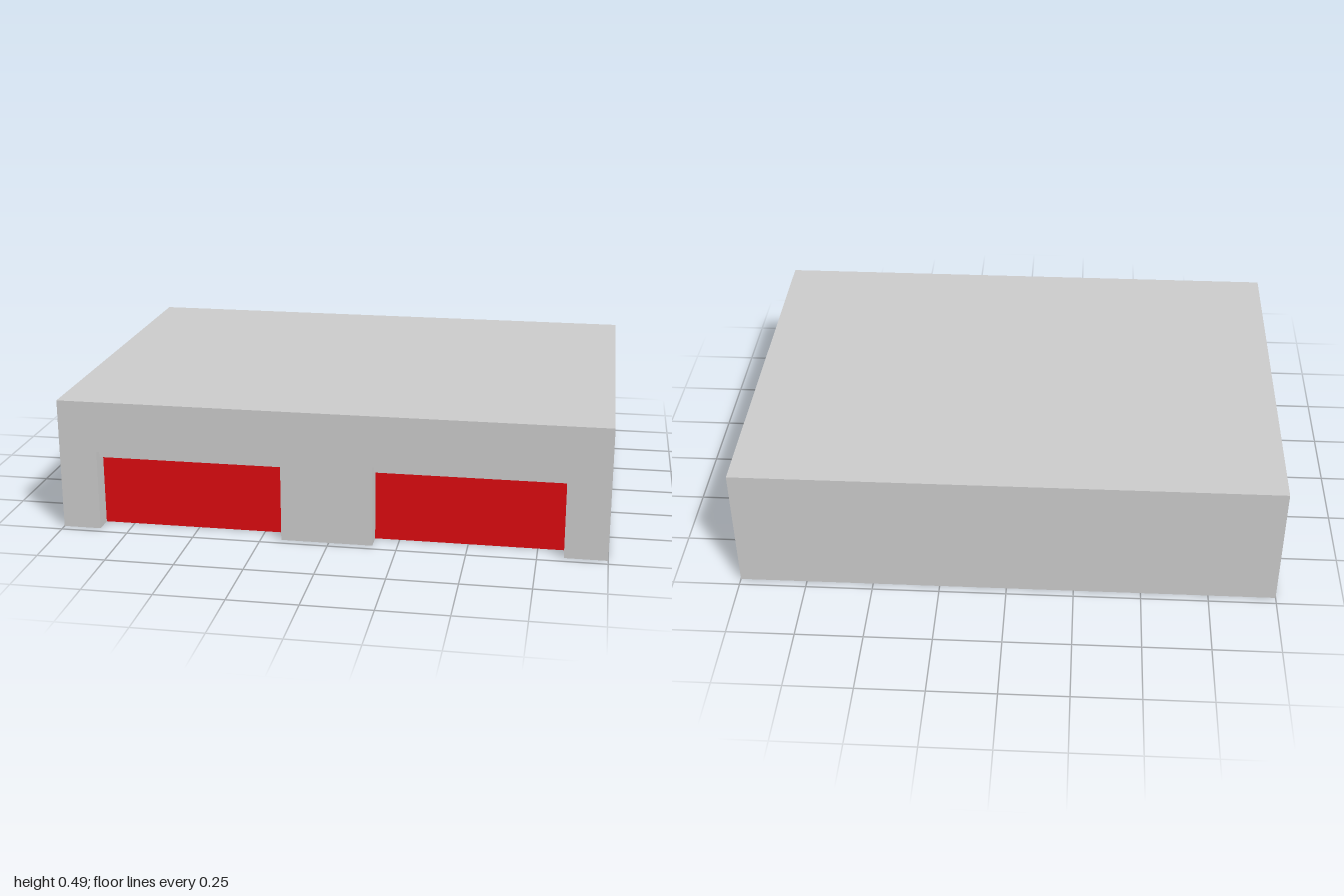
import * as THREE from 'three';

const W = 2, H = 0.49, D = 1.44;
const OPEN_W = 0.685, OPEN_H = 0.3;
const RECESS = 0.07, DOOR_T = 0.01;
const WALL = RECESS + DOOR_T;
const OPENINGS = [-0.86, 0.16]; // x where each doorway starts

export function createModel() {
  const model = new THREE.Group();
  model.name = 'garage';
  const grey = new THREE.MeshStandardMaterial({ color: 0xcccccc, flatShading: true });
  const red = new THREE.MeshStandardMaterial({ color: 0xdd0a10, flatShading: true });

  const add = (name, geometry, material, x, y, z) => {
    const mesh = new THREE.Mesh(geometry, material);
    mesh.name = name;
    mesh.position.set(x, y, z);
    model.add(mesh);
  };

  // Main building block behind the front wall
  add('building', new THREE.BoxGeometry(W, H, D - WALL), grey, 0, H / 2, -WALL / 2);

  // Front wall with doorways open down to the ground
  const wall = new THREE.Shape();
  wall.moveTo(-W / 2, 0);
  for (const x of OPENINGS) {
    wall.lineTo(x, 0);
    wall.lineTo(x, OPEN_H);
    wall.lineTo(x + OPEN_W, OPEN_H);
    wall.lineTo(x + OPEN_W, 0);
  }
  wall.lineTo(W / 2, 0);
  wall.lineTo(W / 2, H);
  wall.lineTo(-W / 2, H);
  const wallGeometry = new THREE.ExtrudeGeometry(wall, { depth: WALL, bevelEnabled: false });
  add('frontWall', wallGeometry, grey, 0, 0, D / 2 - WALL);

  // Recessed doors, each with a shutter housing under the lintel
  const housingH = 0.03, housingD = 0.04;
  const doorFront = D / 2 - RECESS;
  OPENINGS.forEach((start, i) => {
    const side = i === 0 ? 'right' : 'left';
    const x = start + OPEN_W / 2;
    add(side + 'Door', new THREE.BoxGeometry(OPEN_W, OPEN_H, DOOR_T), red,
      x, OPEN_H / 2, doorFront - DOOR_T / 2);
    add(side + 'ShutterHousing', new THREE.BoxGeometry(OPEN_W, housingH, housingD), grey,
      x, OPEN_H - housingH / 2, doorFront + housingD / 2);
  });

  return model;
}
